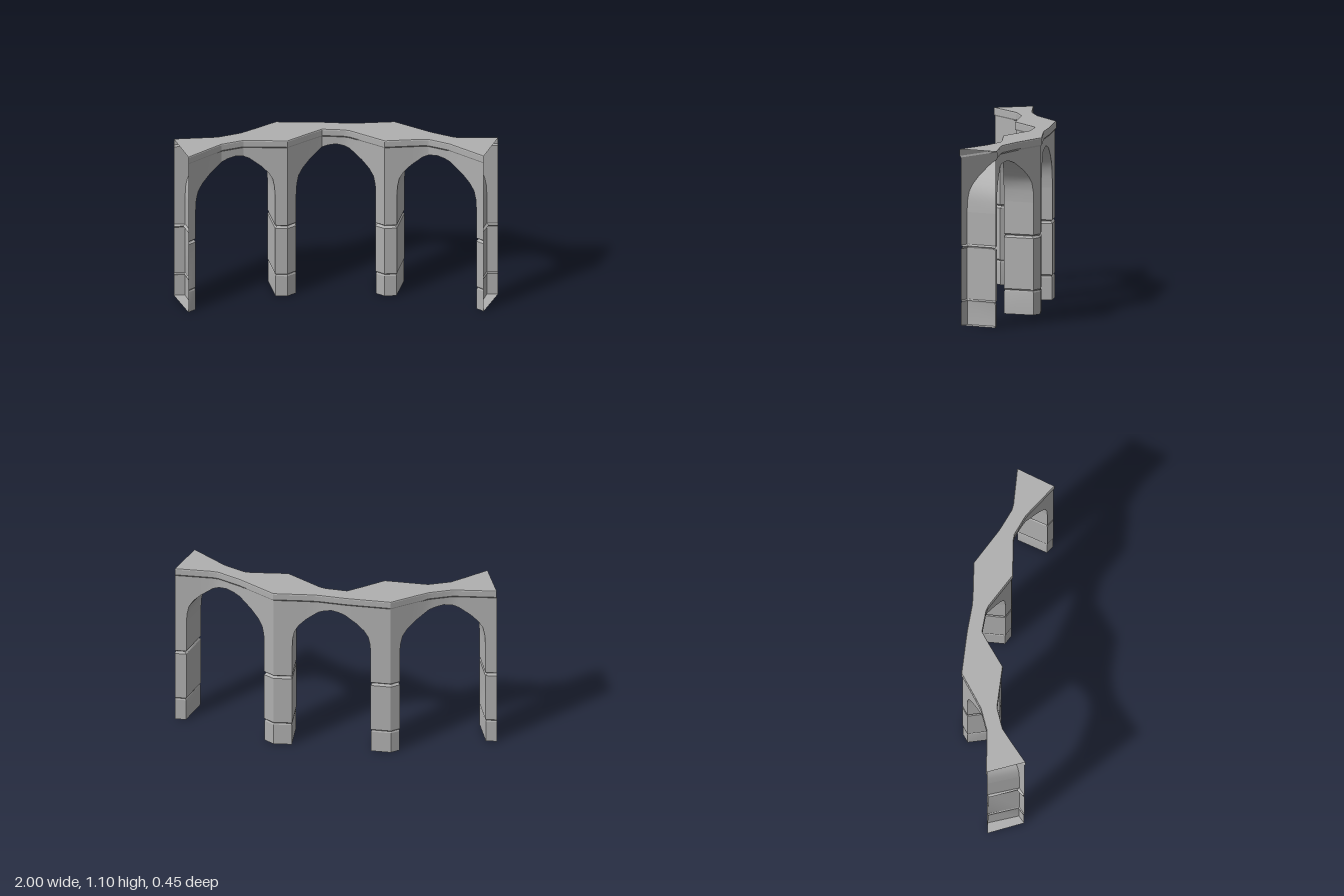
import * as THREE from 'three';
import { toCreasedNormals } from 'three/addons/utils/BufferGeometryUtils.js';

// Plan outline of the deck as [x, z] polylines
const FRONT = [[-0.91, 0.225], [-0.71, 0.063], [-0.57, 0.013], [-0.3, 0.02], [-0.09, -0.13],
  [0.07, -0.118], [0.3, 0.02], [0.56, -0.002], [0.7, 0.06], [0.91, 0.215]];
const BACK = [[-1, -0.012], [-0.73, -0.035], [-0.58, -0.09], [-0.37, -0.23], [-0.1, -0.225],
  [0.1, -0.21], [0.36, -0.23], [0.59, -0.095], [0.74, -0.027], [1, -0.027]];
// Half arch: [fraction of half width, height]
const ARCH = [[1, 0.7], [0.985, 0.77], [0.94, 0.825], [0.83, 0.87], [0.65, 0.915],
  [0.35, 0.97], [0.2, 0.985], [0, 0.995]];
const SPRING = 0.7, WALL_TOP = 1.045, LIP = 0.008;
// Pier profile: [height, inset], with two joints
const ROWS = [[0, 0.002], [0.14, 0.002], [0.15, 0.006], [0.158, 0], [0.477, 0], [0.49, 0.012],
  [0.5, 0], [SPRING, 0]];

function zAt(line, x) {
  let i = 0;
  while (i < line.length - 2 && x > line[i + 1][0]) i++;
  const [x0, z0] = line[i], [x1, z1] = line[i + 1];
  return z0 + (z1 - z0) * (x - x0) / (x1 - x0);
}
// Points on the front and back faces; out moves away from the wall
const front = (x, y, out = 0) => [x, y, zAt(FRONT, x) - LIP + out];
const back = (x, y, out = 0) => [x, y, zAt(BACK, x) + LIP - out];

function meshFrom(name, material, quads, crease = 0.5) {
  const pos = [];
  for (const [a, b, c, d] of quads) pos.push(...a, ...b, ...c, ...a, ...c, ...d);
  const g = new THREE.BufferGeometry();
  g.setAttribute('position', new THREE.Float32BufferAttribute(pos, 3));
  const mesh = new THREE.Mesh(toCreasedNormals(g, crease), material);
  mesh.name = name;
  return mesh;
}

// Stations across an arch as [front x, back x, underside height]
function archStations(f0, f1, b0, b1) {
  const full = [...ARCH.map(([s, y]) => [-s, y]), ...ARCH.slice(0, -1).reverse()];
  return full.map(([s, y]) => [
    (f0 + f1) / 2 + s * (f1 - f0) / 2, (b0 + b1) / 2 + s * (b1 - b0) / 2, y]);
}

export function createModel() {
  const group = new THREE.Group();
  const stone = new THREE.MeshStandardMaterial({ color: 0xb0b0b0, side: THREE.DoubleSide });
  stone.name = 'grey stone';

  const arches = [
    archStations(-0.865, -0.375, -0.93, -0.422),
    archStations(-0.245, 0.245, -0.245, 0.245),
    archStations(0.375, 0.865, 0.422, 0.93),
  ];
  // Piers as [front x, back x]; the two end piers are open on the outside
  const piers = [
    { name: 'leftEndPierOpen', pts: [[-0.91, -1], [-0.865, -0.93]], open: -1 },
    { name: 'innerPier', pts: [[-0.375, -0.422], [-0.3, -0.37], [-0.245, -0.245]], open: 0 },
    { name: 'innerPier', pts: [[0.245, 0.245], [0.3, 0.36], [0.375, 0.422]], open: 0 },
    { name: 'endPierOpen', pts: [[0.865, 0.93], [0.91, 1]], open: 1 },
  ];
  piers[0].name = 'endPierOpen';

  // Piers
  for (const { name, pts, open } of piers) {
    const last = pts.length - 1, quads = [];
    const corner = (side, i, [y, inset]) => {
      let dx = 0;
      if (i === 0 && open !== -1) dx = inset;
      if (i === last && open !== 1) dx = -inset;
      const p = side === 0 ? front(pts[i][0], y, -inset) : back(pts[i][1], y, -inset);
      return [p[0] + dx, p[1], p[2]];
    };
    for (let r = 0; r < ROWS.length - 1; r++) {
      const lo = ROWS[r], hi = ROWS[r + 1];
      for (let i = 0; i < last; i++) {
        quads.push([corner(0, i, lo), corner(0, i + 1, lo), corner(0, i + 1, hi), corner(0, i, hi)]);
        quads.push([corner(1, i + 1, lo), corner(1, i, lo), corner(1, i, hi), corner(1, i + 1, hi)]);
      }
      if (open !== 1) {
        quads.push([corner(0, last, lo), corner(1, last, lo), corner(1, last, hi), corner(0, last, hi)]);
      }
      if (open !== -1) quads.push([corner(1, 0, lo), corner(0, 0, lo), corner(0, 0, hi), corner(1, 0, hi)]);
    }
    for (let i = 0; i < last; i++) {
      const b = ROWS[0];
      quads.push([corner(0, i, b), corner(1, i, b), corner(1, i + 1, b), corner(0, i + 1, b)]);
    }
    group.add(meshFrom(name, stone, quads, 0.3));
  }

  // Arch undersides
  for (const st of arches) {
    const quads = [];
    for (let i = 0; i < st.length - 1; i++) {
      const [f0, b0, y0] = st[i], [f1, b1, y1] = st[i + 1];
      quads.push([front(f0, y0), back(b0, y0), back(b1, y1), front(f1, y1)]);
    }
    group.add(meshFrom('archUnderside', stone, quads, 0.6));
  }

  // All stations in order along the wall
  const stations = [];
  piers.forEach((p, k) => {
    const pts = p.pts.map(([f, b]) => [f, b, SPRING]);
    stations.push(...pts);
    if (arches[k]) stations.push(...arches[k].slice(1, -1));
  });

  // Walls above the arches, and the projecting cap with its flat top
  const wall = [], cap = [];
  const capRows = [[WALL_TOP, 0], [1.055, LIP], [1.092, LIP], [1.098, LIP - 0.003]];
  for (let i = 0; i < stations.length - 1; i++) {
    const [f0, b0, y0] = stations[i], [f1, b1, y1] = stations[i + 1];
    wall.push([front(f0, y0), front(f1, y1), front(f1, WALL_TOP), front(f0, WALL_TOP)]);
    wall.push([back(b1, y1), back(b0, y0), back(b0, WALL_TOP), back(b1, WALL_TOP)]);
    for (let r = 0; r < capRows.length - 1; r++) {
      const [ya, oa] = capRows[r], [yb, ob] = capRows[r + 1];
      cap.push([front(f0, ya, oa), front(f1, ya, oa), front(f1, yb, ob), front(f0, yb, ob)]);
      cap.push([back(b1, ya, oa), back(b0, ya, oa), back(b0, yb, ob), back(b1, yb, ob)]);
    }
    const [yt, ot] = capRows[capRows.length - 1];
    cap.push([front(f0, yt, ot), front(f1, yt, ot), back(b1, yt, ot), back(b0, yt, ot)]);
  }
  group.add(meshFrom('archWalls', stone, wall, 0.3));
  group.add(meshFrom('cap', stone, cap, 0.3));
  return group;
}
